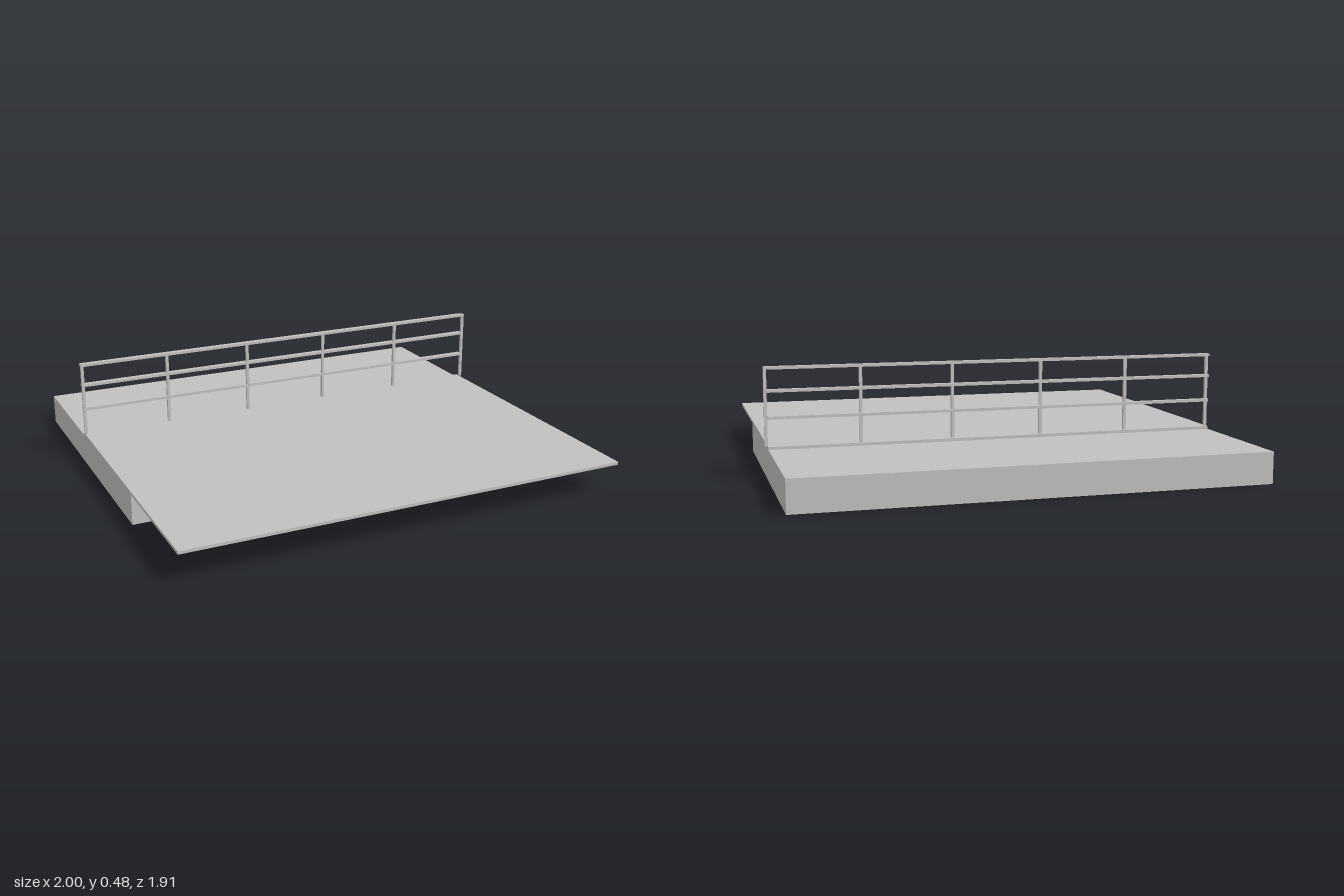
import * as THREE from 'three';

export function createModel() {
  const group = new THREE.Group();
  const grey = new THREE.MeshStandardMaterial({ color: 0xc0c0c0 });
  grey.name = 'light grey';

  // Box given by its limits on each axis
  function box(name, [x0, x1], [y0, y1], [z0, z1]) {
    const mesh = new THREE.Mesh(new THREE.BoxGeometry(x1 - x0, y1 - y0, z1 - z0), grey);
    mesh.position.set((x0 + x1) / 2, (y0 + y1) / 2, (z0 + z1) / 2);
    mesh.name = name;
    group.add(mesh);
  }

  const left = -1, right = 0.986;

  // Solid base and the thin deck that overhangs its front
  box('base', [left, right], [0, 0.135], [-0.955, 0.37]);
  box('deck', [left, right], [0.135, 0.148], [-0.365, 0.955]);

  // Evenly spaced posts; the last stands just past the deck's edge
  const postWidth = 0.013, posts = 6;
  for (let i = 0; i < posts; i++) {
    const x = left + (i * (right - left)) / (posts - 1);
    box('post', [x, x + postWidth], [0.148, 0.48], [-0.35, -0.338]);
  }

  // Three horizontal rails
  for (const y of [0.267, 0.379, 0.474]) {
    box('rail', [left, right], [y - 0.006, y + 0.006], [-0.362, -0.337]);
  }
  return group;
}
